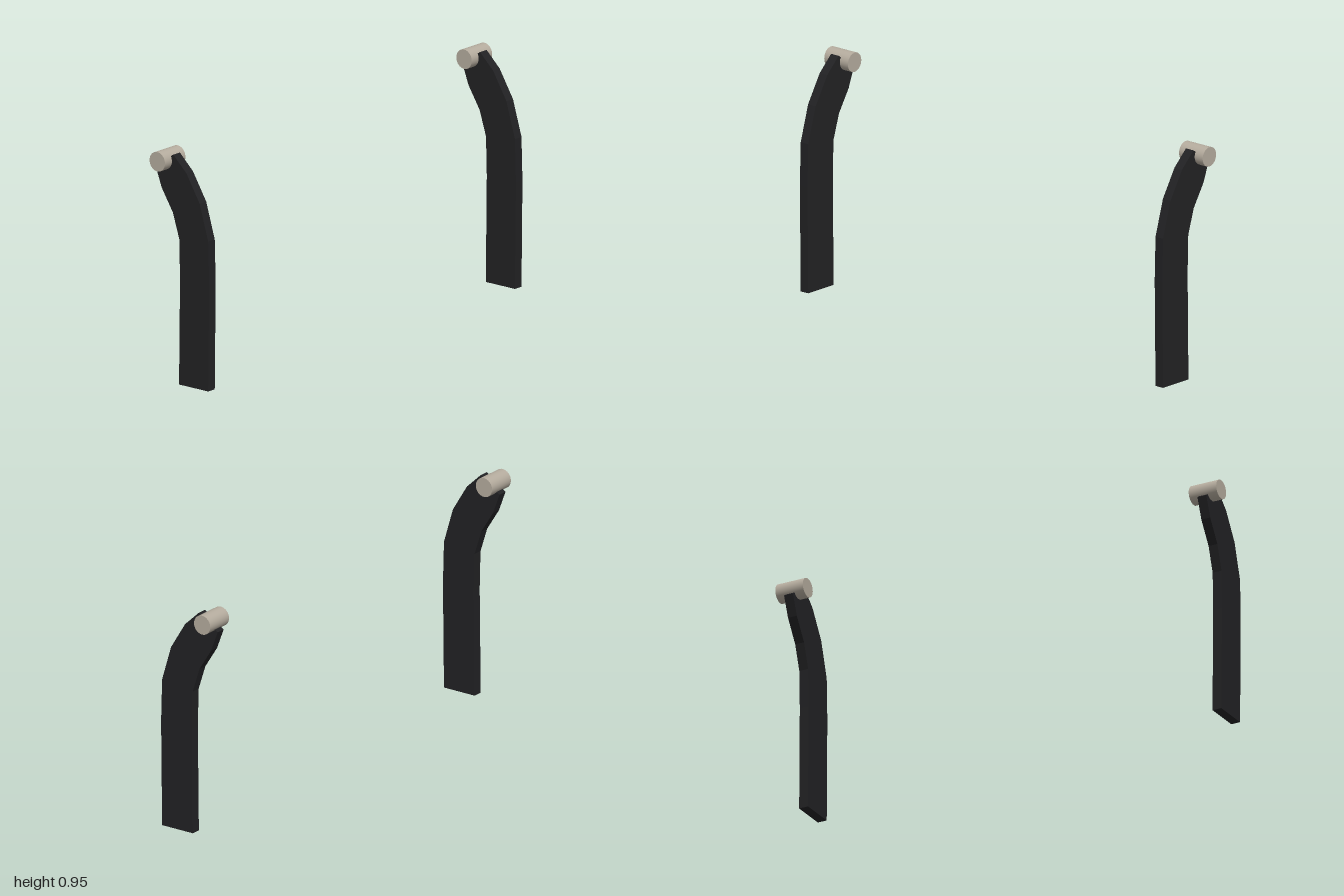
import * as THREE from 'three';

const STRAP_THICKNESS = 0.04;
const PEG_LENGTH = 0.125;

export function createModel() {
  const model = new THREE.Group();
  model.name = 'curvedArmPair';
  const dark = new THREE.MeshStandardMaterial({ color: 0x222224, flatShading: true });
  const beige = new THREE.MeshStandardMaterial({ color: 0xb5ac9e });

  // Side outline of the arm: straight below, bending toward -x at the top
  const outline = [
    [-0.018, 0], [0.133, 0], [0.138, 0.44], [0.133, 0.618], [0.089, 0.765], [0.02, 0.878],
    [-0.048, 0.942], [-0.14, 0.88], [-0.108, 0.795], [-0.05, 0.703], [-0.017, 0.6], [-0.013, 0.44],
  ].map(([x, y]) => new THREE.Vector2(x, y));
  const strapGeometry = new THREE.ExtrudeGeometry(new THREE.Shape(outline), {
    depth: STRAP_THICKNESS, bevelEnabled: false,
  }).translate(0, 0, -STRAP_THICKNESS / 2);

  // Round peg crossing the tip of the arm
  const pegGeometry = new THREE.CylinderGeometry(0.04, 0.04, PEG_LENGTH, 32).rotateX(Math.PI / 2);

  for (const side of [1, -1]) {
    const arm = new THREE.Group();
    arm.name = side > 0 ? 'frontArm' : 'backArm';
    const strap = new THREE.Mesh(strapGeometry, dark);
    strap.name = 'curvedStrap';
    const peg = new THREE.Mesh(pegGeometry, beige);
    peg.name = 'tipPeg';
    peg.position.set(-0.095, 0.913, 0);
    arm.add(strap, peg);
    arm.position.z = side * (1 - PEG_LENGTH / 2);
    model.add(arm);
  }
  return model;
}
